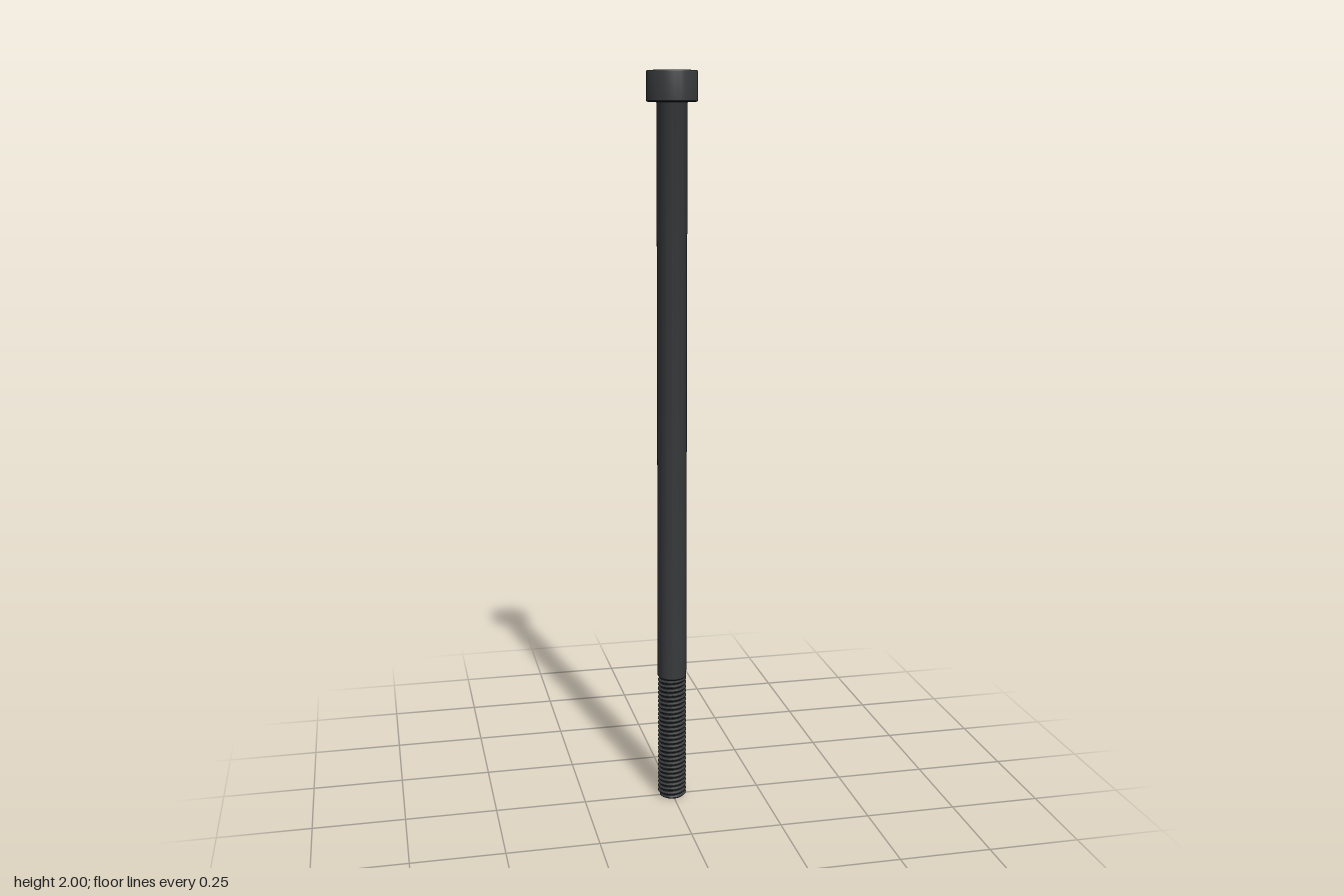
import * as THREE from 'three';
import { toCreasedNormals } from 'three/addons/utils/BufferGeometryUtils.js';

const SEGMENTS = 48;
const SHANK_R = 0.04, ROOT_R = 0.033, HEAD_R = 0.067;
const THREAD_TOP = 0.36, HEAD_BOTTOM = 1.922, TOP = 2;
const PITCH = 0.0128;
const SOCKET_R = 0.038, SOCKET_APOTHEM = 0.0325, SOCKET_DEPTH = 0.042;

const steel = new THREE.MeshStandardMaterial({ color: 0x37393b });

function addPart(group, name, geometry) {
  const mesh = new THREE.Mesh(toCreasedNormals(geometry, 0.5), steel);
  mesh.name = name;
  group.add(mesh);
}

// Surface around the y axis: pointAt(row, angle) returns [radius, y]
function turnedSurface(rows, pointAt) {
  const positions = [], indices = [];
  for (let j = 0; j < rows; j++) {
    for (let i = 0; i <= SEGMENTS; i++) {
      const a = (i / SEGMENTS) * Math.PI * 2;
      const [r, y] = pointAt(j, a);
      positions.push(r * Math.cos(a), y, r * Math.sin(a));
      if (j < rows - 1 && i < SEGMENTS) {
        const p = j * (SEGMENTS + 1) + i, q = p + SEGMENTS + 1;
        indices.push(p, q, p + 1, p + 1, q, q + 1);
      }
    }
  }
  const geometry = new THREE.BufferGeometry();
  geometry.setAttribute('position', new THREE.Float32BufferAttribute(positions, 3));
  geometry.setIndex(indices);
  geometry.computeVertexNormals();
  return geometry;
}

// Right-handed helical thread, chamfered at the tip and closed by a flat end
function threadGeometry() {
  const steps = [0, 0.15, 0.5, 0.65]; // root flat, then crest flat
  const turns = Math.ceil(THREAD_TOP / PITCH) + 2;
  return turnedSurface(turns * 4 + 1, (row, a) => {
    if (row === 0) return [0, 0];
    const k = row - 1;
    const raw = PITCH * (Math.floor(k / 4) + steps[k % 4] - a / (Math.PI * 2));
    const y = THREE.MathUtils.clamp(raw, 0, THREAD_TOP);
    const r = k % 4 < 2 ? ROOT_R : SHANK_R - 0.0005;
    return [Math.min(r, ROOT_R + y, ROOT_R + (THREAD_TOP - y)), y];
  });
}

// Hexagonal recess with a conical lead-in at its mouth
function socketGeometry() {
  const sixth = Math.PI / 3;
  return turnedSurface(4, (row, a) => {
    const hexR = SOCKET_APOTHEM / Math.cos(((a + 1e-9) % sixth) - sixth / 2);
    return [
      [SOCKET_R, TOP],
      [hexR, TOP - (SOCKET_R - hexR) * 0.6],
      [hexR, TOP - SOCKET_DEPTH],
      [0, TOP - SOCKET_DEPTH],
    ][row];
  });
}

function lathe(profile) {
  return new THREE.LatheGeometry(profile.map(([r, y]) => new THREE.Vector2(r, y)), SEGMENTS);
}

export function createModel() {
  const bolt = new THREE.Group();
  bolt.name = 'socketHeadBolt';

  addPart(bolt, 'thread', threadGeometry());

  addPart(bolt, 'shank', lathe([
    [ROOT_R, THREAD_TOP - 0.006],
    [SHANK_R, THREAD_TOP],
    [SHANK_R, HEAD_BOTTOM - 0.003],
    [SHANK_R + 0.001, HEAD_BOTTOM - 0.001],
    [SHANK_R + 0.003, HEAD_BOTTOM],
  ]));

  // Cap head with a small lower chamfer and a rounded upper rim
  const rim = 0.004;
  const roundedRim = [0, 1, 2, 3, 4].map((i) => {
    const a = (i / 4) * Math.PI / 2;
    return [HEAD_R - rim + rim * Math.cos(a), TOP - rim + rim * Math.sin(a)];
  });
  addPart(bolt, 'head', lathe([
    [SHANK_R, HEAD_BOTTOM],
    [HEAD_R - 0.002, HEAD_BOTTOM],
    [HEAD_R, HEAD_BOTTOM + 0.002],
    ...roundedRim,
    [SOCKET_R, TOP],
  ]));

  addPart(bolt, 'hexSocket', socketGeometry());

  return bolt;
}
